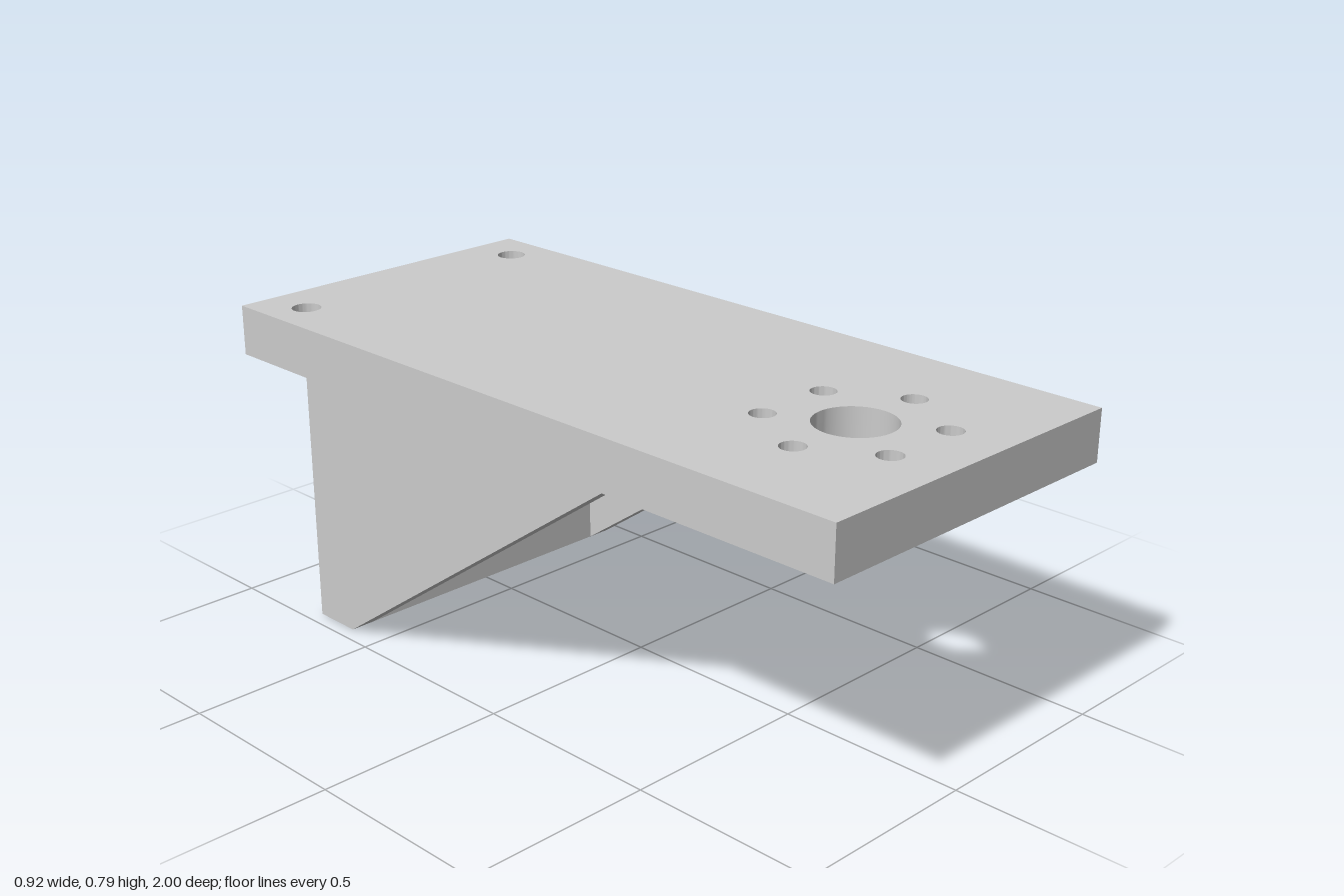
import * as THREE from 'three';
import { toCreasedNormals } from 'three/addons/utils/BufferGeometryUtils.js';

const HALF_W = 0.46, TOP = 0.793, UNDER = 0.661;
const WALL_BACK = -0.735, WALL_FRONT = -0.603, GUSSET = 0.065;

const material = new THREE.MeshStandardMaterial({ color: 0xcccccc });

// Extrude an outline of [x, y] points with round holes given as [x, y, radius].
function slab(points, depth, holes = []) {
  const shape = new THREE.Shape(points.map(([x, y]) => new THREE.Vector2(x, y)));
  for (const [x, y, r] of holes) {
    shape.holes.push(new THREE.Path().absarc(x, y, r, 0, Math.PI * 2, true));
  }
  const geometry = new THREE.ExtrudeGeometry(shape, { depth, bevelEnabled: false, curveSegments: 32 });
  return toCreasedNormals(geometry, 0.6);
}

const rect = (x, y0, y1) => [[-x, y0], [x, y0], [x, y1], [-x, y1]];

export function createModel() {
  const group = new THREE.Group();
  group.name = 'mountingBracket';
  const add = (name, geometry) => {
    const mesh = new THREE.Mesh(geometry, material);
    mesh.name = name;
    group.add(mesh);
  };

  // Top plate: central bore, six-bolt circle and two rear fixing holes
  const plateHoles = [[0, 0.668, 0.1], [-0.352, -0.868, 0.038], [0.352, -0.868, 0.038]];
  for (let i = 0; i < 6; i++) {
    const a = (i * Math.PI) / 3;
    plateHoles.push([0.209 * Math.cos(a), 0.668 + 0.209 * Math.sin(a), 0.032]);
  }
  add('topPlate', slab(rect(HALF_W, -1, 1), TOP - UNDER, plateHoles)
    .rotateX(Math.PI / 2).translate(0, TOP, 0));

  // Upright wall between the gussets, with two bolt holes
  add('backWall', slab(rect(HALF_W - GUSSET, 0, UNDER), WALL_FRONT - WALL_BACK,
    [[-0.274, 0.331, 0.028], [0.274, 0.331, 0.028]]).translate(0, 0, WALL_BACK));

  // Sloping side gussets, outlined in z and y
  const outline = [[WALL_BACK, 0], [WALL_FRONT, 0], [0.34, UNDER], [WALL_BACK, UNDER]];
  for (const [name, outerX] of [['leftGusset', HALF_W], ['rightGusset', -HALF_W + GUSSET]]) {
    add(name, slab(outline, GUSSET).rotateY(-Math.PI / 2).translate(outerX, 0, 0));
  }

  return group;
}
